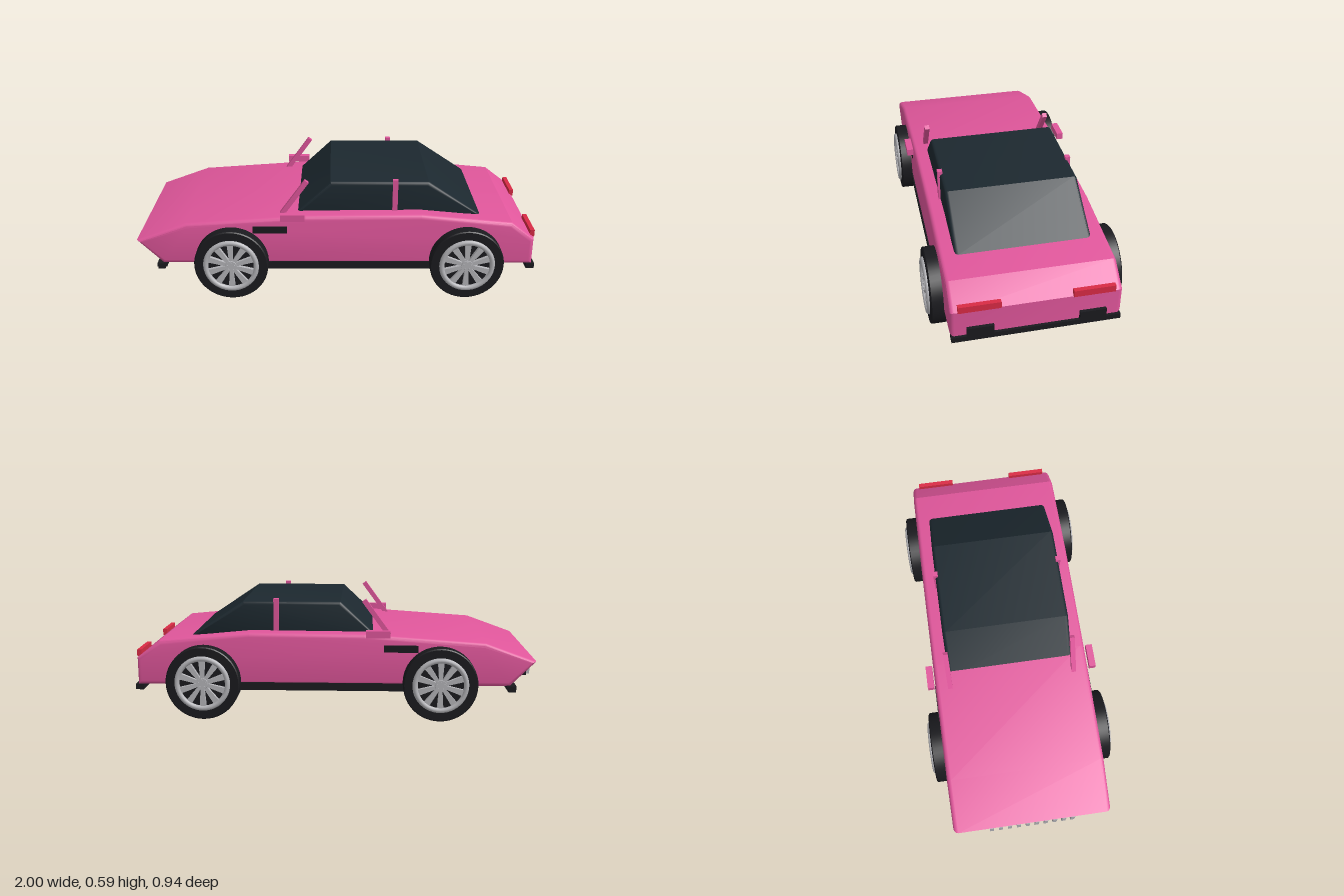
import * as THREE from 'three';
import { toCreasedNormals } from 'three/addons/utils/BufferGeometryUtils.js';

const mat = (color) => new THREE.MeshStandardMaterial({ color });

export function createModel() {
  const car = new THREE.Group();
  car.name = 'sportsCar';
  const paint = mat(0xe0569b), glass = mat(0x1c282f), black = mat(0x1a1a1e);
  const red = mat(0xd92b45), metal = mat(0xb4b4b8);

  const add = (parent, name, geometry, material, x = 0, y = 0, z = 0) => {
    const mesh = new THREE.Mesh(geometry, material);
    mesh.name = name;
    mesh.position.set(x, y, z);
    parent.add(mesh);
    return mesh;
  };
  // Box given by its limits along each axis
  const box = (name, material, [x0, x1], [y0, y1], [z0, z1]) =>
    add(car, name, new THREE.BoxGeometry(x1 - x0, y1 - y0, z1 - z0), material,
      (x0 + x1) / 2, (y0 + y1) / 2, (z0 + z1) / 2);
  // Side profile swept across the car, with rounded edges
  const hull = (name, material, points, width, bevel) => {
    const shape = new THREE.Shape(points.map(([x, y]) => new THREE.Vector2(x, y)));
    const depth = width - 2 * bevel;
    const g = new THREE.ExtrudeGeometry(shape, {
      depth, bevelEnabled: true, bevelSize: bevel, bevelThickness: bevel,
      bevelOffset: -bevel, bevelSegments: 4,
    });
    g.translate(0, 0, -depth / 2);
    return add(car, name, toCreasedNormals(g, 0.5), material);
  };

  // Wedge body and cabin
  hull('body', paint, [[-0.87, 0.165], [0.983, 0.16], [0.983, 0.297], [0.868, 0.385],
    [0.42, 0.428], [-0.15, 0.424], [-0.745, 0.383], [-0.995, 0.292]], 0.796, 0.022);
  hull('cabin', glass, [[-0.215, 0.4], [0.716, 0.4], [0.455, 0.574], [-0.03, 0.574]], 0.648, 0.018);

  // Nose: grille with slats, and lip spoiler
  box('grilleBacking', black, [-0.98, -0.95], [0.18, 0.28], [-0.22, 0.22]);
  for (let i = 0; i < 10; i++) {
    const z = -0.207 + i * 0.046;
    box('grilleSlat', metal, [-0.997, -0.975], [0.188, 0.285], [z - 0.01, z + 0.01]);
  }
  box('frontLip', black, [-0.9, -0.852], [0.152, 0.17], [-0.402, 0.402]);
  box('frontLipLower', black, [-0.9, -0.865], [0.134, 0.153], [-0.39, 0.39]);

  // Tail bumper
  box('rearBumper', black, [0.955, 0.996], [0.134, 0.161], [-0.393, 0.393]);

  // Parts mirrored on both sides
  for (const s of [1, -1]) {
    const side = (a, b) => (s > 0 ? [a, b] : [-b, -a]);
    box('rearBumperBlock', black, [0.958, 0.998], [0.155, 0.206], side(0.198, 0.323));
    box('tailLight', red, [0.968, 0.99], [0.297, 0.331], side(0.165, 0.36));
    box('sill', black, [-0.4, 0.7], [0.139, 0.178], side(0.36, 0.403));
    box('sideVent', black, [-0.415, -0.245], [0.335, 0.37], side(0.38, 0.402));
    box('mirror', paint, [-0.275, -0.157], [0.412, 0.447], side(0.402, 0.435));
    box('rearPillar', paint, [0.277, 0.303], [0.41, 0.588], side(0.31, 0.334));
    const pillar = add(car, 'windshieldPillar', new THREE.BoxGeometry(0.024, 0.22, 0.024),
      paint, -0.212, 0.492, s * 0.322);
    pillar.rotation.z = -0.63;
  }

  // Wheel along its own z axis, outer face toward +z
  const tyreProfile = [[0.001, -0.058], [0.136, -0.058], [0.178, -0.058], [0.183, -0.053],
    [0.183, 0.053], [0.178, 0.058], [0.136, 0.058], [0.13, 0.044], [0.001, 0.044]];
  const tyreGeo = toCreasedNormals(
    new THREE.LatheGeometry(tyreProfile.map(([r, h]) => new THREE.Vector2(r, h)), 48), 0.5);
  tyreGeo.rotateX(Math.PI / 2);
  const rimGeo = new THREE.TorusGeometry(0.125, 0.013, 10, 48);
  const hubGeo = new THREE.CylinderGeometry(0.028, 0.032, 0.03, 24).rotateX(Math.PI / 2);
  const nutGeo = new THREE.CylinderGeometry(0.004, 0.004, 0.01, 6).rotateX(Math.PI / 2);
  // Spoke that widens toward the rim
  const spokeShape = new THREE.Shape([[-0.008, 0.015], [0.008, 0.015], [0.016, 0.122], [-0.016, 0.122]]
    .map(([x, y]) => new THREE.Vector2(x, y)));
  const spokeGeo = new THREE.ExtrudeGeometry(spokeShape, { depth: 0.018, bevelEnabled: false });

  const makeWheel = () => {
    const wheel = new THREE.Group();
    add(wheel, 'tyre', tyreGeo, black);
    add(wheel, 'rim', rimGeo, metal, 0, 0, 0.059);
    add(wheel, 'hub', hubGeo, metal, 0, 0, 0.052);
    for (let i = 0; i < 10; i++) {
      add(wheel, 'spoke', spokeGeo, metal, 0, 0, 0.044).rotation.z = i * Math.PI / 5;
    }
    for (let i = 0; i < 5; i++) {
      const a = i * Math.PI * 0.4 + 0.3;
      add(wheel, 'wheelNut', nutGeo, metal, 0.019 * Math.cos(a), 0.019 * Math.sin(a), 0.068);
    }
    return wheel;
  };
  for (const [name, x] of [['frontWheel', -0.523], ['rearWheel', 0.646]]) {
    for (const s of [1, -1]) {
      const wheel = makeWheel();
      wheel.name = name;
      wheel.position.set(x, 0.184, s * 0.399);
      if (s < 0) wheel.rotation.y = Math.PI;
      car.add(wheel);
    }
  }
  return car;
}
